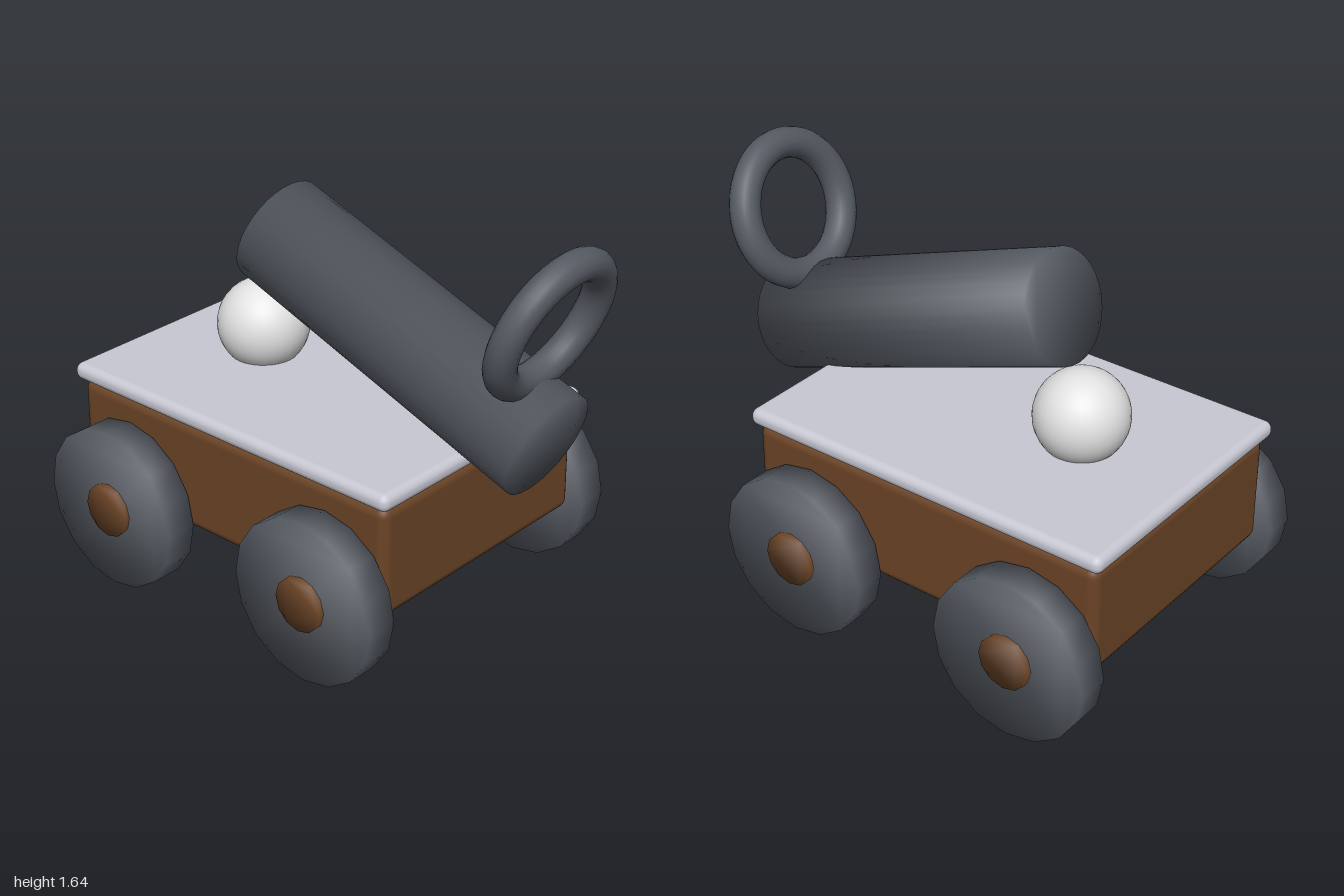
import * as THREE from 'three';
import { mergeVertices } from 'three/addons/utils/BufferGeometryUtils.js';
import { RoundedBoxGeometry } from 'three/addons/geometries/RoundedBoxGeometry.js';

const TILT = THREE.MathUtils.degToRad(20);

// Solid round bar along z, with normals blended softly over the end rims
function softCylinder(radius, length, sides) {
  const points = [];
  for (let i = 0; i < sides; i++) {
    const a = (i / sides) * Math.PI * 2;
    points.push(new THREE.Vector2(Math.cos(a) * radius, Math.sin(a) * radius));
  }
  let geo = new THREE.ExtrudeGeometry(new THREE.Shape(points), { depth: length, bevelEnabled: false });
  geo.translate(0, 0, -length / 2);
  geo.deleteAttribute('uv');
  geo.deleteAttribute('normal');
  geo = mergeVertices(geo);
  geo.clearGroups();
  geo.computeVertexNormals();
  const p = geo.attributes.position;
  const n = new THREE.Vector3();
  for (let i = 0; i < p.count; i++) {
    n.set(p.getX(i) / radius, p.getY(i) / radius, Math.sign(p.getZ(i))).normalize();
    geo.attributes.normal.setXYZ(i, n.x, n.y, n.z);
  }
  return geo;
}

export function createModel() {
  const model = new THREE.Group();
  model.name = 'toyCannonCart';

  const material = (name, color) => {
    const m = new THREE.MeshStandardMaterial({ color });
    m.name = name;
    return m;
  };
  const iron = material('dark iron', 0x555a62);
  const wood = material('brown wood', 0x6b4426);
  const deckGrey = material('pale grey', 0xc8c8d4);
  const white = material('off white', 0xe2e2e2);

  const add = (name, geo, mat, x, y, z, parent = model) => {
    const mesh = new THREE.Mesh(geo, mat);
    mesh.name = name;
    mesh.position.set(x, y, z);
    parent.add(mesh);
    return mesh;
  };

  // Cart body and its deck
  add('cartBody', new RoundedBoxGeometry(1.08, 0.44, 1.535, 3, 0.04), wood, 0, 0.52, -0.178);
  add('deck', new RoundedBoxGeometry(1.125, 0.07, 1.58, 3, 0.032), deckGrey, 0, 0.775, -0.18);

  // Four wheels with hubs
  const wheelGeo = softCylinder(0.325, 0.125, 16).rotateY(Math.PI / 2);
  const hubGeo = softCylinder(0.107, 0.145, 12).rotateY(Math.PI / 2);
  for (const [sideName, side] of [['left', 1], ['right', -1]]) {
    for (const [endName, z] of [['Front', 0.32], ['Back', -0.675]]) {
      const wheel = new THREE.Group();
      wheel.name = `${sideName}${endName}Wheel`;
      wheel.position.set(0, 0.325, z);
      add('tyre', wheelGeo, iron, side * 0.6125, 0, 0, wheel);
      add('hub', hubGeo, wood, side * 0.6225, 0, 0, wheel);
      model.add(wheel);
    }
  }

  // Barrel sloping down to the front, with a matching ring above its end
  add('barrel', softCylinder(0.213, 1.355, 32), iron, 0, 1.11, 0.228).rotation.x = TILT;
  add('ring', new THREE.TorusGeometry(0.25, 0.06, 16, 48), iron, 0, 1.342, 0.858).rotation.x = TILT;

  // Ball resting on the deck
  add('ball', new THREE.SphereGeometry(0.18, 32, 20), white, 0, 0.93, -0.497);

  return model;
}
